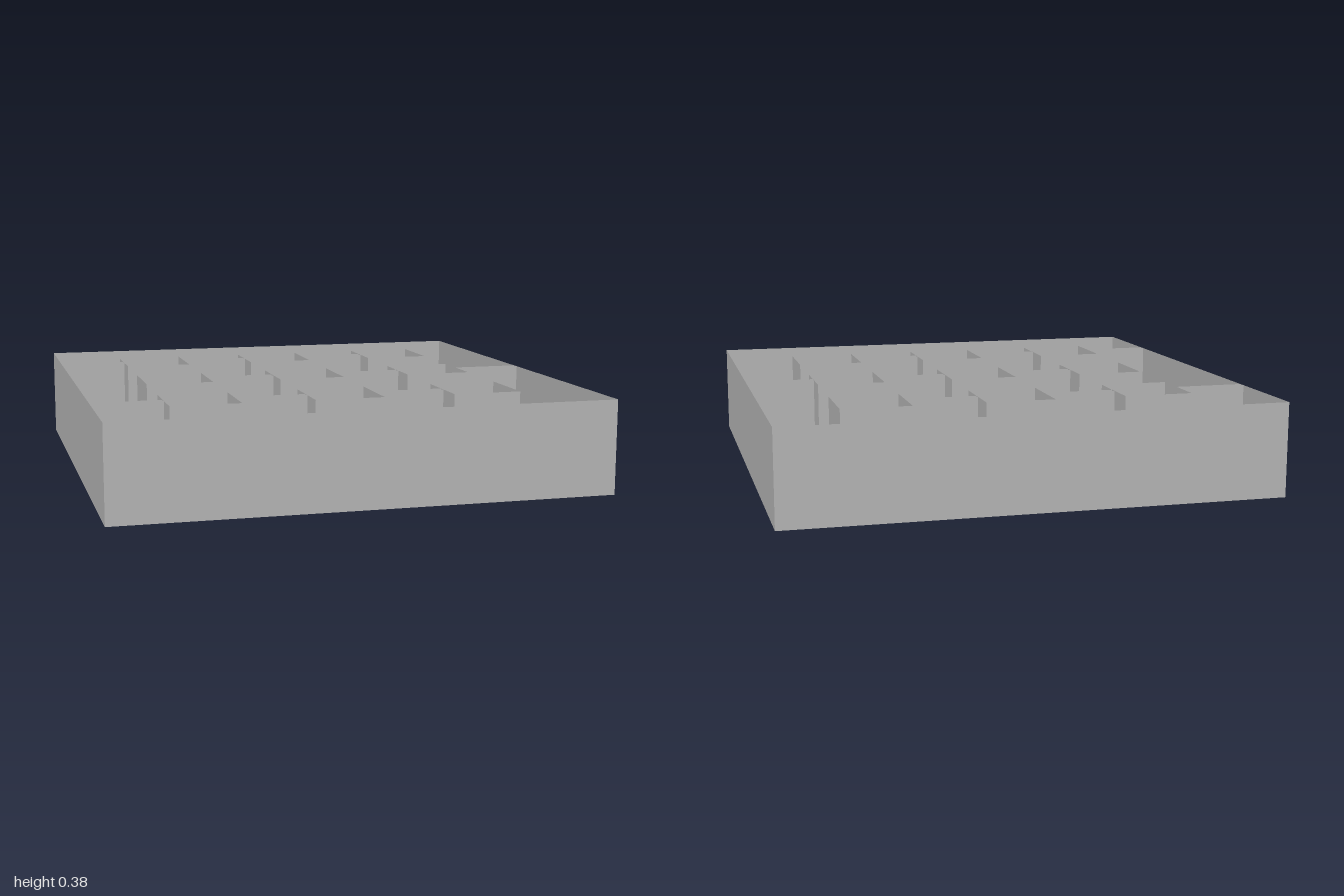
import * as THREE from 'three';

const HEIGHT = 0.38;   // every wall reaches the rim
const PITCH = 0.573;   // spacing of the square cells
const HALF = 0.141;    // half width of a cell
const GAP = 0.015;     // half spacing of the paired partition sheets

export function createModel() {
  const model = new THREE.Group();
  model.name = 'partitionedTray';
  const grey = new THREE.MeshStandardMaterial({ color: 0xbababa, side: THREE.DoubleSide });
  grey.name = 'plain grey';

  // Upright thin sheet between two floor points
  const sheet = (parent, name, x1, z1, x2, z2) => {
    const length = Math.hypot(x2 - x1, z2 - z1);
    const mesh = new THREE.Mesh(new THREE.PlaneGeometry(length, HEIGHT), grey);
    mesh.name = name;
    mesh.position.set((x1 + x2) / 2, HEIGHT / 2, (z1 + z2) / 2);
    mesh.rotation.y = -Math.atan2(z2 - z1, x2 - x1);
    parent.add(mesh);
  };

  // Four sheets round a square, open at the top
  const squareWalls = (name, cx, cz, h) => {
    const group = new THREE.Group();
    group.name = name;
    const corners = [[-h, h], [h, h], [h, -h], [-h, -h]];
    corners.forEach(([x, z], i) => {
      const [nx, nz] = corners[(i + 1) % 4];
      sheet(group, name + 'Side', cx + x, cz + z, cx + nx, cz + nz);
    });
    model.add(group);
  };

  // Tray floor and outer walls
  const floor = new THREE.Mesh(new THREE.PlaneGeometry(2, 2), grey);
  floor.name = 'floor';
  floor.rotation.x = -Math.PI / 2;
  model.add(floor);
  squareWalls('outerWall', 0, 0, 1);

  for (const row of [-1, 0, 1]) {
    const z = row * PITCH;

    // Open square cells
    for (const col of [-1, 0, 1]) squareWalls('cell', col * PITCH, z, HALF);

    // Partitions join the cells; rows meet opposite outer walls in turn
    const end = row === 0 ? 1 : -1;
    const spans = [
      [-PITCH + HALF, -HALF],
      [HALF, PITCH - HALF],
      [end * (PITCH + HALF), end],
    ];
    const partition = new THREE.Group();
    partition.name = 'partition';
    for (const [a, b] of spans) {
      for (const s of [-GAP, GAP]) sheet(partition, 'partitionSheet', a, z + s, b, z + s);
    }
    model.add(partition);
  }
  return model;
}
